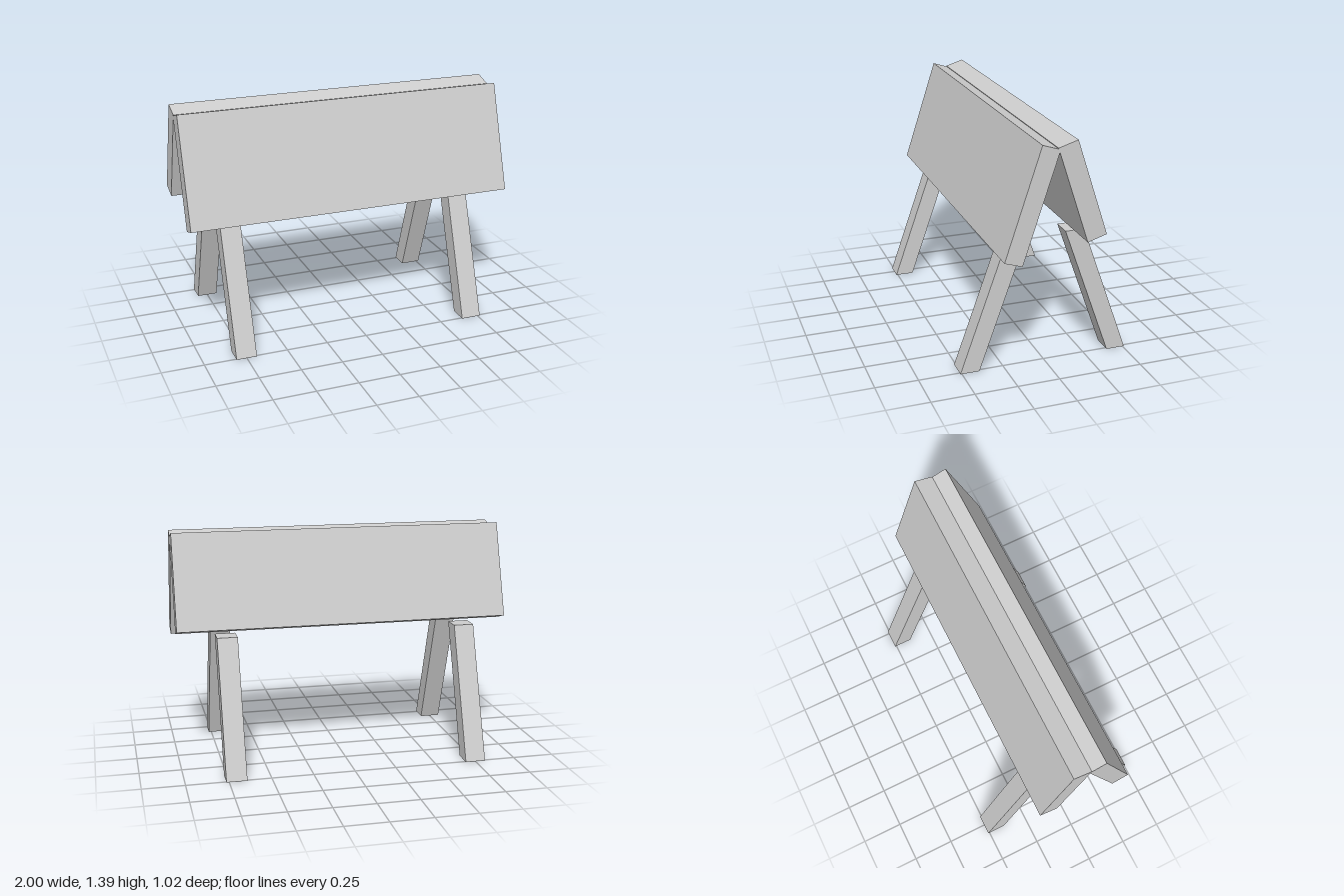
import * as THREE from 'three';

export function createModel() {
  const group = new THREE.Group();
  const grey = new THREE.MeshStandardMaterial({ color: 0xcccccc });
  grey.name = 'grey';

  // Extrudes a side profile of [z, y] corners along x, centred on x
  function beam(name, corners, x, width) {
    const shape = new THREE.Shape(corners.map(([z, y]) => new THREE.Vector2(z, y)));
    const geometry = new THREE.ExtrudeGeometry(shape, { depth: width, bevelEnabled: false });
    geometry.translate(0, 0, -width / 2);
    geometry.rotateY(-Math.PI / 2);
    const mesh = new THREE.Mesh(geometry, grey);
    mesh.name = name;
    mesh.position.x = x;
    group.add(mesh);
  }

  // Two long boards leaning together at the top
  beam('frontBoard', [[0.123, 1.38], [0.021, 1.347], [0.228, 0.717], [0.33, 0.75]], 0, 2);
  beam('backBoard', [[-0.077, 1.39], [-0.258, 0.84], [-0.147, 0.806], [0.034, 1.356]], 0, 2);

  // Splayed legs, cut level at floor and top
  for (const [side, x] of [['right', -0.75], ['left', 0.705]]) {
    for (const [end, s] of [['Front', 1], ['Back', -1]]) {
      const profile = [[0.509, 0], [0.229, 0.787], [0.116, 0.787], [0.396, 0]];
      beam(`${side}${end}Leg`, profile.map(([z, y]) => [z * s, y]), x, 0.122);
    }
  }
  return group;
}
